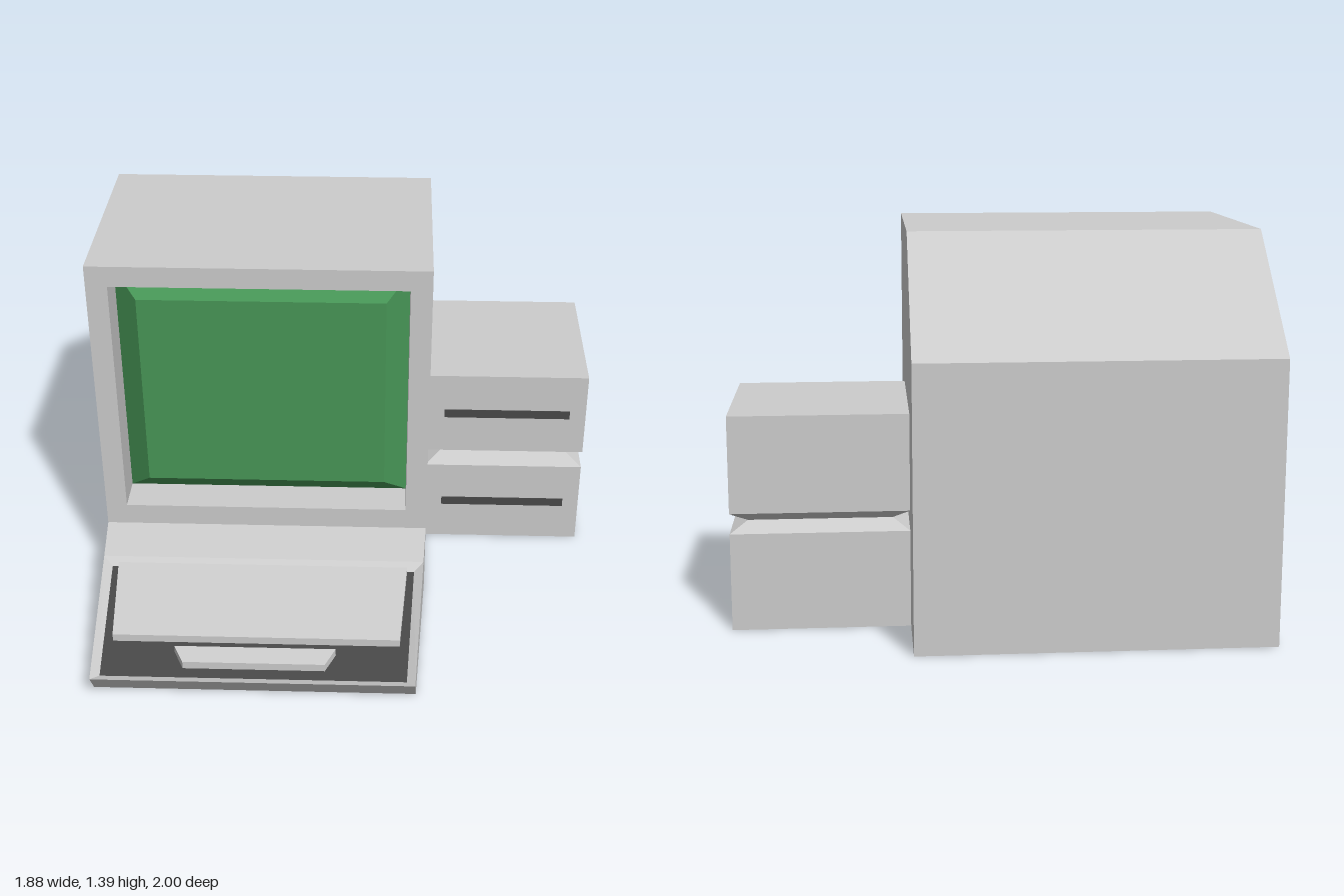
import * as THREE from 'three';

const grey = new THREE.MeshStandardMaterial({ color: 0xcccccc, flatShading: true });
const dark = new THREE.MeshStandardMaterial({ color: 0x484848, flatShading: true });
const green = new THREE.MeshStandardMaterial({ color: 0x479556, flatShading: true });

// Joins four-cornered rings into a faceted skin; either end may be capped.
function loft(rings, capStart = true, capEnd = true) {
  const pos = [];
  const quad = (a, b, c, d) => pos.push(...a, ...b, ...c, ...a, ...c, ...d);
  for (let r = 0; r < rings.length - 1; r++) {
    const a = rings[r], b = rings[r + 1];
    for (let i = 0; i < 4; i++) {
      const j = (i + 1) % 4;
      quad(a[i], a[j], b[j], b[i]);
    }
  }
  if (capStart) quad(...[...rings[0]].reverse());
  if (capEnd) quad(...rings[rings.length - 1]);
  const geo = new THREE.BufferGeometry();
  geo.setAttribute('position', new THREE.Float32BufferAttribute(pos, 3));
  geo.computeVertexNormals();
  return geo;
}

function shapeOf(points) {
  return new THREE.Shape(points.map(([x, y]) => new THREE.Vector2(x, y)));
}

const rectXY = (x0, x1, y0, y1) => [[x0, y0], [x1, y0], [x1, y1], [x0, y1]];

export function createModel() {
  const model = new THREE.Group();
  const add = (name, geo, mat, parent = model) => {
    const mesh = new THREE.Mesh(geo, mat);
    mesh.name = name;
    parent.add(mesh);
    return mesh;
  };

  const L = -0.94, R = 0.31, MID = (L + R) / 2;
  const FRONT = 0.26, RECESS = 0.11, TOP = 1.39;

  // Cabinet behind the screen, with a sloped upper back
  const side = shapeOf([[-RECESS, 0], [1, 0], [1, 1], [0.56, TOP], [-RECESS, TOP]]);
  const cabinet = new THREE.ExtrudeGeometry(side, { depth: R - L, bevelEnabled: false });
  cabinet.rotateY(Math.PI / 2).translate(L, 0, 0);
  add('cabinet', cabinet, grey);

  // Front frame with the screen opening
  const frame = shapeOf(rectXY(L, R, 0, TOP));
  frame.holes.push(shapeOf(rectXY(-0.86, 0.23, 0.35, 1.31)));
  const frameGeo = new THREE.ExtrudeGeometry(frame, { depth: FRONT - RECESS, bevelEnabled: false });
  add('screenFrame', frameGeo.translate(0, 0, RECESS), grey);

  // Bevelled screen standing out from the back of the recess
  const ringZ = (inset, z) =>
    rectXY(-0.86 + inset, 0.23 - inset, 0.35 + inset, 1.31 - inset).map(([x, y]) => [x, y, z]);
  add('screen', loft([ringZ(0, RECESS + 0.002), ringZ(0.086, RECESS + 0.085)], false), green);

  // Keyboard: sloping top, narrowing towards the front
  const keyboard = new THREE.Group();
  keyboard.name = 'keyboard';
  model.add(keyboard);
  const slope = z => 0.265 - 0.2095 * (z - FRONT);
  const half = z => 0.625 - 0.054 * (z - FRONT);
  const FLOOR = -0.02;
  // Ring on the slope: half widths at its front and back, raised by h
  const ring = (zf, zb, wf, wb, h) => [
    [MID - wf, slope(zf) + h, zf], [MID + wf, slope(zf) + h, zf],
    [MID + wb, slope(zb) + h, zb], [MID - wb, slope(zb) + h, zb]];
  const foot = [
    [MID - half(0.925), 0.006, 0.925], [MID + half(0.925), 0.006, 0.925], [R, 0, FRONT], [L, 0, FRONT]];
  const well = ring(0.965, 0.46, 0.555, 0.58, FLOOR);
  add('keyboardCase', loft([
    foot,
    ring(1, FRONT, half(1), half(FRONT), 0),
    ring(1, 0.43, half(1), half(0.43), 0),
    well], true, false), grey, keyboard);
  add('keyboardWell', loft([well], false, true), dark, keyboard);

  // Raised key block and space bar
  const raised = (name, ...plan) =>
    add(name, loft([ring(...plan, FLOOR), ring(...plan, 0.01)]), grey, keyboard);
  raised('keyBlock', 0.81, 0.47, 0.528, 0.553);
  raised('spaceBar', 0.925, 0.855, 0.258, 0.295);

  // Two stacked disk drives with a pinched joint between them
  const drives = new THREE.Group();
  drives.name = 'diskDrives';
  model.add(drives);
  const ringY = (y, i) => [
    [R + i, y, -0.06 - i], [0.94 - i, y, -0.06 - i], [0.94 - i, y, -0.69 + i], [R + i, y, -0.69 + i]];
  add('driveCases', loft([
    ringY(0, 0), ringY(0.35, 0), ringY(0.385, 0.06), ringY(0.423, 0), ringY(0.77, 0)]), grey, drives);
  for (const y of [0.175, 0.598]) {
    const slot = add('driveSlot', new THREE.BoxGeometry(0.497, 0.036, 0.01), dark, drives);
    slot.position.set(0.628, y, -0.063);
  }

  return model;
}
